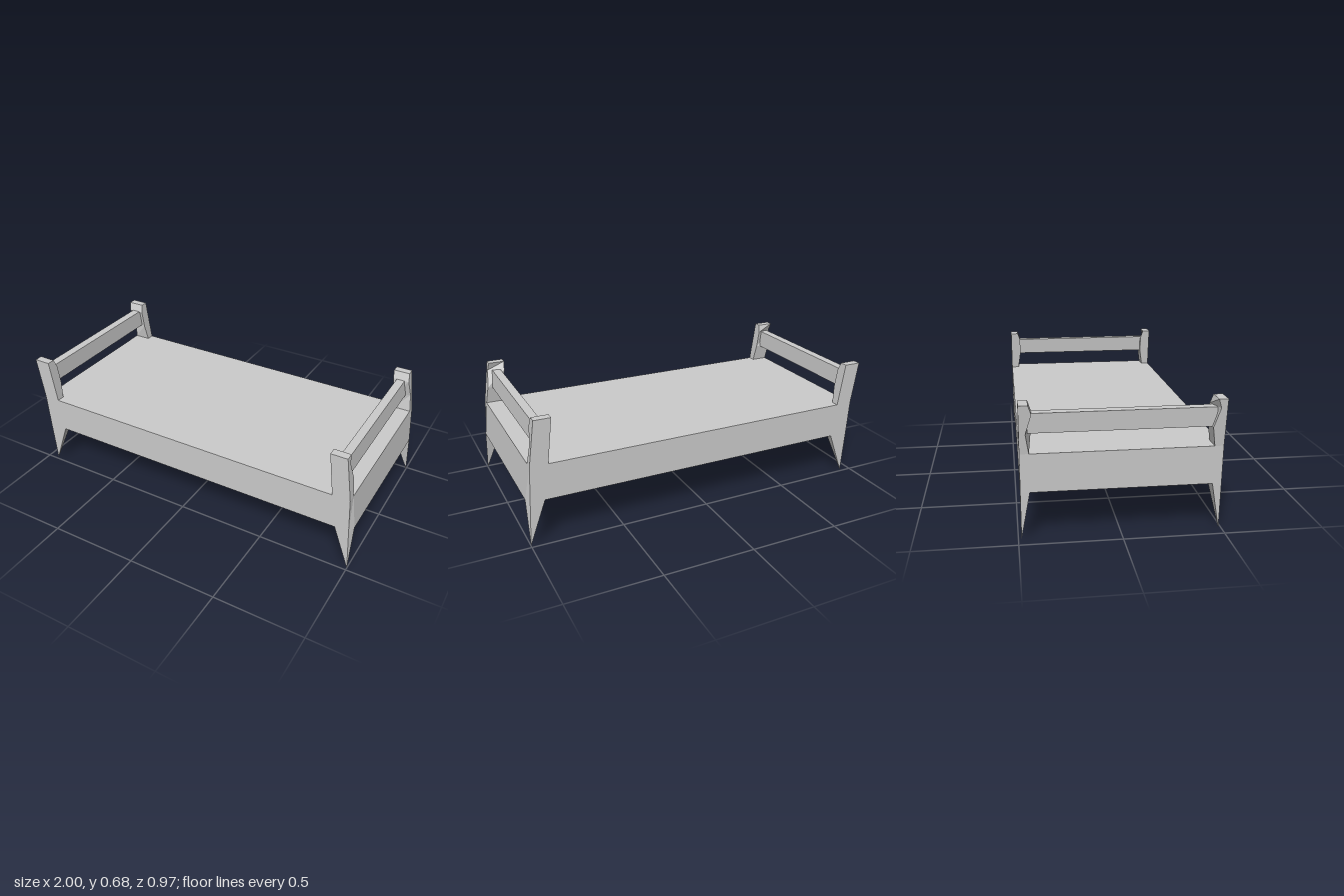
import * as THREE from 'three';

const material = new THREE.MeshStandardMaterial({ color: 0xcccccc, flatShading: true });

// Skin a stack of rings, bottom to top. Each section is [y, [[x, z], ...]].
function loft(name, sections, capBottom = true, capTop = true) {
  const area = sections[sections.length - 1][1].reduce((sum, [x, z], i, ring) => {
    const [nx, nz] = ring[(i + 1) % ring.length];
    return sum + x * nz - nx * z;
  }, 0);
  const rings = sections.map(([y, ring]) => {
    const points = ring.map(([x, z]) => [x, y, z]);
    return area > 0 ? points.reverse() : points;
  });
  const n = rings[0].length, out = [];
  const tri = (a, b, c) => out.push(...a, ...b, ...c);
  for (let s = 0; s < rings.length - 1; s++) {
    const lo = rings[s], hi = rings[s + 1];
    for (let i = 0; i < n; i++) {
      const j = (i + 1) % n;
      tri(lo[i], lo[j], hi[j]);
      tri(lo[i], hi[j], hi[i]);
    }
  }
  const first = rings[0], last = rings[rings.length - 1];
  for (let i = 1; i < n - 1; i++) {
    if (capBottom) tri(first[0], first[i + 1], first[i]);
    if (capTop) tri(last[0], last[i], last[i + 1]);
  }
  const geometry = new THREE.BufferGeometry();
  geometry.setAttribute('position', new THREE.Float32BufferAttribute(out, 3));
  geometry.computeVertexNormals();
  const mesh = new THREE.Mesh(geometry, material);
  mesh.name = name;
  return mesh;
}

const Z = 0.485, ZI = 0.44;      // outer and inner faces of the corner posts
const BOTTOM = 0.245, TOP = 0.44; // mattress block
const RAIL0 = 0.537, RAIL1 = 0.635, POST = 0.68;

export function createModel() {
  const bed = new THREE.Group();
  bed.name = 'bed';

  // Mattress block, its foot end flaring outwards at the bottom
  const outline = (x0, x1, x2) => [[x0, Z], [x1, Z], [x2, ZI], [x2, -ZI], [x1, -Z], [x0, -Z]];
  bed.add(loft('mattressBlock', [
    [BOTTOM, outline(-0.955, 0.986, 1)],
    [TOP, outline(-0.965, 0.975, 0.975)],
  ]));

  // Both ends: x of the outer and inner post edges at each height
  const ends = [
    { name: 'head', tip: -0.94, leg: [-0.955, -0.955, -0.845], base: [-0.965, -0.87], top: [-1, -0.905],
      railLow: [-0.96, -0.91], railHigh: [-0.97, -0.92] },
    { name: 'foot', tip: 1, leg: [0.986, 1, 0.91], base: [0.975, 0.88], top: [0.94, 0.85],
      railLow: [0.935, 0.888], railHigh: [0.922, 0.876] },
  ];

  for (const e of ends) {
    for (const side of [1, -1]) {
      // Leg tapering to a point at the outer corner
      const tip = [e.tip, side * Z];
      bed.add(loft(e.name + 'Leg', [
        [0, [tip, tip, tip, tip]],
        [BOTTOM, [[e.leg[0], side * Z], [e.leg[1], side * ZI], [e.leg[2], side * ZI], [e.leg[2], side * Z]]],
      ], false, false));

      // Leaning post, bulging inwards where it meets the rail
      const section = (y, outerZ, innerZ) => {
        const t = (y - TOP) / (POST - TOP);
        const xo = THREE.MathUtils.lerp(e.base[0], e.top[0], t);
        const xi = THREE.MathUtils.lerp(e.base[1], e.top[1], t);
        return [y, [[xo, side * Z], [xo, side * outerZ], [xi, side * innerZ], [xi, side * Z]]];
      };
      const twist = side > 0 ? [0.425, 0.455] : [0.455, 0.425];
      bed.add(loft(e.name + 'Post', [
        section(TOP, ZI, ZI),
        section(RAIL0, twist[0], 0.425),
        section(RAIL1, twist[1], 0.425),
        section(POST, ZI, ZI),
      ], false, true));
    }

    // Cross rail between the posts
    const bar = ([a, b]) => [[a, 0.445], [b, 0.445], [b, -0.445], [a, -0.445]];
    bed.add(loft(e.name + 'Rail', [[RAIL0, bar(e.railLow)], [RAIL1, bar(e.railHigh)]]));
  }
  return bed;
}
